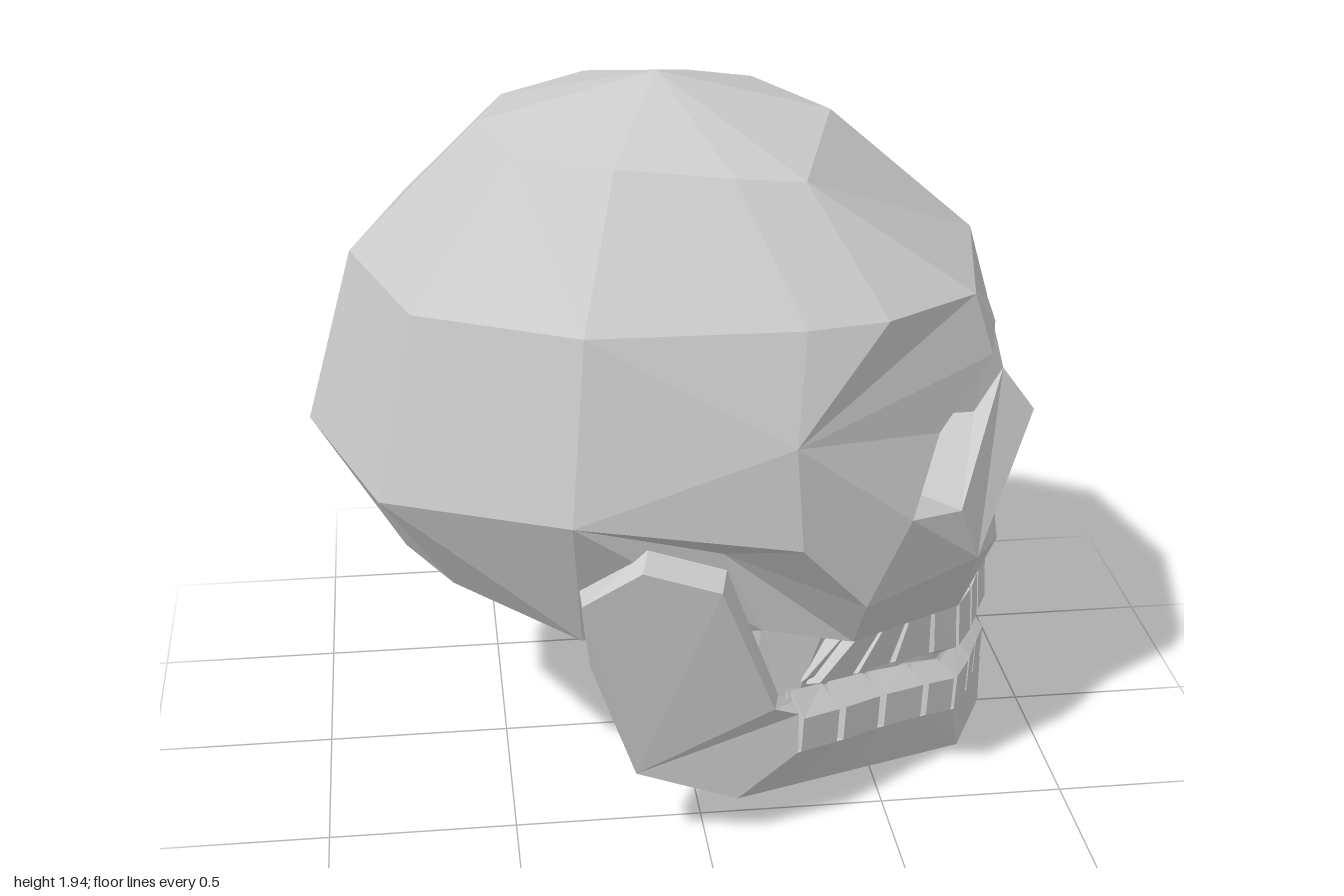
import * as THREE from 'three';

const V = (x, y, z) => new THREE.Vector3(x, y, z);
const mix = (a, b, t) => a.clone().lerp(b, t);
const material = new THREE.MeshStandardMaterial({ color: 0xcccccc, flatShading: true, side: THREE.DoubleSide });

// Collects flat polygons; every polygon is mirrored to the other side of the head.
class Shell {
  constructor() { this.data = []; }

  // Fan of triangles facing away from ref (or towards it when facing is -1)
  panel(points, ref, facing = 1) {
    for (let i = 1; i < points.length - 1; i++) {
      let [a, b, c] = [points[0], points[i], points[i + 1]];
      const n = b.clone().sub(a).cross(c.clone().sub(a));
      if (n.length() < 1e-6) continue;
      const mid = a.clone().add(b).add(c).divideScalar(3);
      if (n.dot(mid.sub(ref)) * facing < 0) [b, c] = [c, b];
      for (const p of [a, b, c]) this.data.push(p.x, p.y, p.z);
      for (const p of [a, c, b]) this.data.push(p.x, p.y, -p.z);
    }
  }

  // Quads between two rows of points
  strip(top, bottom, ref) {
    for (let i = 0; i < top.length - 1; i++) this.panel([top[i], top[i + 1], bottom[i + 1], bottom[i]], ref);
  }

  // Closed solid between two matching outlines
  block(a, b) {
    const ref = V(0, 0, 0);
    [...a, ...b].forEach(p => ref.addScaledVector(p, 0.5 / a.length));
    this.panel(a, ref);
    this.panel(b, ref);
    a.forEach((p, i) => {
      const j = (i + 1) % a.length;
      this.panel([p, a[j], b[j], b[i]], ref);
    });
  }

  mesh(name) {
    const g = new THREE.BufferGeometry();
    g.setAttribute('position', new THREE.Float32BufferAttribute(this.data, 3));
    g.computeVertexNormals();
    const m = new THREE.Mesh(g, material);
    m.name = name;
    return m;
  }
}

export function createModel() {
  const group = new THREE.Group();
  group.name = 'skull';
  const core = V(0, 1.0, 0);

  // Landmarks shared by the cranium and the face
  const temple = V(0.44, 1.48, 0.66), forehead = V(0.69, 1.48, 0.5), foreheadMid = V(0.79, 1.48, 0);
  const side = V(0.2, 1.2, 0.77), ear = V(-0.35, 1.01, 0.76), arch = V(0.22, 0.92, 0.77);
  const cheek = V(0.4, 0.71, 0.69), cheekFront = V(0.745, 0.71, 0.45);
  const gumBack = V(0.39, 0.55, 0.58), gumSide = V(0.74, 0.48, 0.29), gumMid = V(0.88, 0.47, 0);

  // Cranium: rings from the crown down to the base
  const crown = V(-0.06, 1.94, 0);
  const upper = [V(-0.53, 1.82, 0), V(-0.45, 1.81, 0.27), V(-0.21, 1.82, 0.44), V(0.08, 1.8, 0.485),
    V(0.26, 1.78, 0.47), V(0.26, 1.78, 0.47), V(0.4, 1.82, 0)];
  const middle = [V(-0.87, 1.48, 0), V(-0.72, 1.48, 0.48), V(-0.31, 1.48, 0.69), V(0.23, 1.48, 0.7),
    temple, forehead, foreheadMid];
  const lower = [V(-1, 1.01, 0), V(-0.82, 1.01, 0.55), ear, side, side];
  const base = [V(-0.76, 0.61, 0), V(-0.64, 0.71, 0.43), V(-0.32, 0.6, 0.58), V(0.15, 0.6, 0.58), gumBack];
  const cranium = new Shell();
  cranium.strip(upper.map(() => crown), upper, core);
  cranium.strip(upper, middle, core);
  cranium.strip(middle.slice(0, 5), lower, core);
  cranium.strip(lower.slice(0, 3), base.slice(0, 3), core);
  cranium.panel([ear, side, arch], core);
  cranium.strip(base, [base[0], base[0], V(-0.32, 0.6, 0), V(0.15, 0.6, 0), V(0.39, 0.55, 0)], core);
  // Hollow under the cheek arch: a narrow shelf above an upright wall
  const hollow = V(0.04, 0.85, 0.62);
  [[ear, arch, hollow], [ear, hollow, base[3], base[2]], [hollow, arch, cheek, gumBack, base[3]]]
    .forEach(p => cranium.panel(p, core));
  group.add(cranium.mesh('cranium'));

  // Face: brow, cheekbones, nose bridge and upper jaw
  const browOut = V(0.745, 1.31, 0.49), browIn = V(0.83, 1.27, 0.17), browMid = V(0.85, 1.27, 0);
  const rimSide = V(0.6, 1.13, 0.56), rimOut = V(0.52, 0.93, 0.65);
  const rimLow = V(0.69, 0.86, 0.47), rimIn = V(0.8, 0.98, 0.11);
  const bridge = V(0.905, 1.06, 0), noseTip = V(1, 0.93, 0);
  const noseSide = V(0.86, 0.75, 0.13), noseLow = V(0.88, 0.6, 0.13), noseMid = V(0.89, 0.65, 0);
  const face = new Shell();
  [
    [side, rimOut, rimSide, browOut, forehead, temple],
    [forehead, foreheadMid, browMid, browIn, browOut],
    [side, rimOut, cheek, arch],
    [rimOut, rimLow, cheekFront, cheek],
    [bridge, cheekFront, rimLow, rimIn],
    [browMid, bridge, rimIn, browIn],
    [cheekFront, bridge, noseTip, noseSide],
    [cheek, cheekFront, gumSide, gumBack],
    [cheekFront, noseSide, noseLow, gumSide],
    [noseLow, noseMid, gumMid, gumSide],
    [gumBack, gumSide, gumMid, V(0.39, 0.55, 0)],
  ].forEach(p => face.panel(p, V(0.2, 0.9, 0)));
  group.add(face.mesh('face'));

  // Eye sockets: the rim drawn back to a flat inner wall
  const sockets = new Shell();
  const wall = [V(0.48, 1.23, 0.38), V(0.58, 1.21, 0.18), V(0.58, 0.99, 0.14), V(0.46, 0.93, 0.37)];
  const socketMid = V(0.66, 1.08, 0.34);
  [
    wall,
    [browOut, browIn, wall[1], wall[0]],
    [browIn, rimIn, wall[2], wall[1]],
    [rimIn, rimLow, wall[3], wall[2]],
    [rimLow, rimOut, wall[3]],
    [wall[0], wall[3], rimOut, rimSide, browOut],
  ].forEach(p => sockets.panel(p, socketMid, -1));
  group.add(sockets.mesh('eyeSockets'));

  // Nose opening
  const nose = new Shell();
  const noseBack = V(0.8, 0.69, 0);
  [[noseTip, noseSide], [noseSide, noseLow], [noseLow, noseMid]]
    .forEach(e => nose.panel([...e, noseBack], V(0.93, 0.76, 0.02), -1));
  group.add(nose.mesh('noseOpening'));

  // Dental arch: eight stations from the back tooth to the middle
  const stations = [[0.24, 0.64], [0.37, 0.55], [0.5, 0.45], [0.64, 0.36], [0.74, 0.29], [0.8, 0.19], [0.84, 0.095], [0.885, 0]];
  // Moves a point into the mouth; the back end moves sideways only
  const inward = (p, d = 0.07, dy = 0) =>
    V(p.x - d * THREE.MathUtils.clamp((p.x - 0.08) / 0.3, 0, 1), p.y + dy, p.z * (1 - d * 1.7));
  const fall = (i, back, front) => back + (front - back) * Math.min(i / 4, 1);

  // Lower tooth: straight face with a bevelled biting edge
  const lowerTooth = stations.map(([x, z], i) => {
    const foot = V(x, fall(i, 0.26, 0.15), z), edge = V(x + 0.005, fall(i, 0.36, 0.25), z);
    return [foot, edge, inward(edge, 0.045, fall(i, 0.06, 0.05)), inward(foot, 0.07)];
  });
  // Upper tooth: leans out towards its biting edge
  const upperTooth = stations.map(([x, z], i) => {
    const top = i < 4 ? mix(gumBack, gumSide, i / 4) : V(x, 0.48, z);
    const tip = V(x + fall(i, 0.05, 0.005), fall(i, 0.45, 0.35), z * fall(i, 0.96, 1));
    return [top, tip, inward(tip, 0.04, -0.025), inward(top, 0.07)];
  });
  for (const [name, row] of [['lowerTeeth', lowerTooth], ['upperTeeth', upperTooth]]) {
    const teeth = new Shell(), gum = new Shell();
    for (let i = 0; i < 7; i++) {
      const at = t => row[i].map((p, k) => mix(p, row[i + 1][k], t));
      teeth.block(at(0.08), at(0.92));
      const inset = s => [inward(s[0], 0.025), inward(s[1], 0.03), inward(s[2], 0.01), inward(s[3], 0.01)];
      gum.block(inset(row[i]), inset(row[i + 1]));
    }
    group.add(teeth.mesh(name), gum.mesh(name === 'lowerTeeth' ? 'lowerGum' : 'upperGum'));
  }

  // Mouth wall: closes the space behind the teeth and beside the jaw branches
  const mouth = new Shell();
  const wallTop = [V(-0.1, 0.64, 0.57), V(0.15, 0.64, 0.57), ...upperTooth.map(s => inward(s[0], 0.05, 0.07))];
  const wallLow = [V(-0.1, 0.32, 0.61), V(0.12, 0.3, 0.6), ...lowerTooth.map(s => inward(s[0], 0.06, 0.02))];
  mouth.strip(wallTop, wallLow, V(0.2, 0.45, 0));
  group.add(mouth.mesh('mouthWall'));

  // Lower jaw: body below the teeth, running from the jaw corner to the chin
  const corner = V(0.08, 0.13, 0.64), chinSide = V(0.77, 0, 0.235), chin = V(0.885, 0, 0);
  const jaw = new Shell();
  const sections = lowerTooth.map(([foot], i) => {
    const low = i < 4 ? mix(corner, chinSide, i / 4) : mix(chinSide, chin, (i - 4) / 3);
    return [foot, low, inward(low, 0.07, 0.02), inward(foot)];
  });
  for (let i = 0; i < 7; i++) jaw.block(sections[i], sections[i + 1]);
  group.add(jaw.mesh('jawBody'));

  // Jaw branches rising beside the skull: bevelled top edge, thicker at the back where they meet the base
  const branch = new Shell();
  const outer = [V(-0.19, 0.24, 0.66), V(-0.31, 0.6, 0.72), V(-0.33, 0.79, 0.75), V(-0.18, 0.88, 0.765), V(0.02, 0.81, 0.76),
    V(0.17, 0.42, 0.68), V(0.24, 0.38, 0.645), V(0.24, 0.26, 0.64), corner];
  const inner = outer.map((p, i) => V(
    p.x + (i > 2 && i < 6 ? 0.02 : 0),
    p.y + (i > 2 && i < 5 ? 0.03 : 0),
    p.z - (i === 1 || i === 2 ? 0.15 : 0.07)));
  branch.block(outer, inner);
  group.add(branch.mesh('jawBranches'));

  return group;
}
